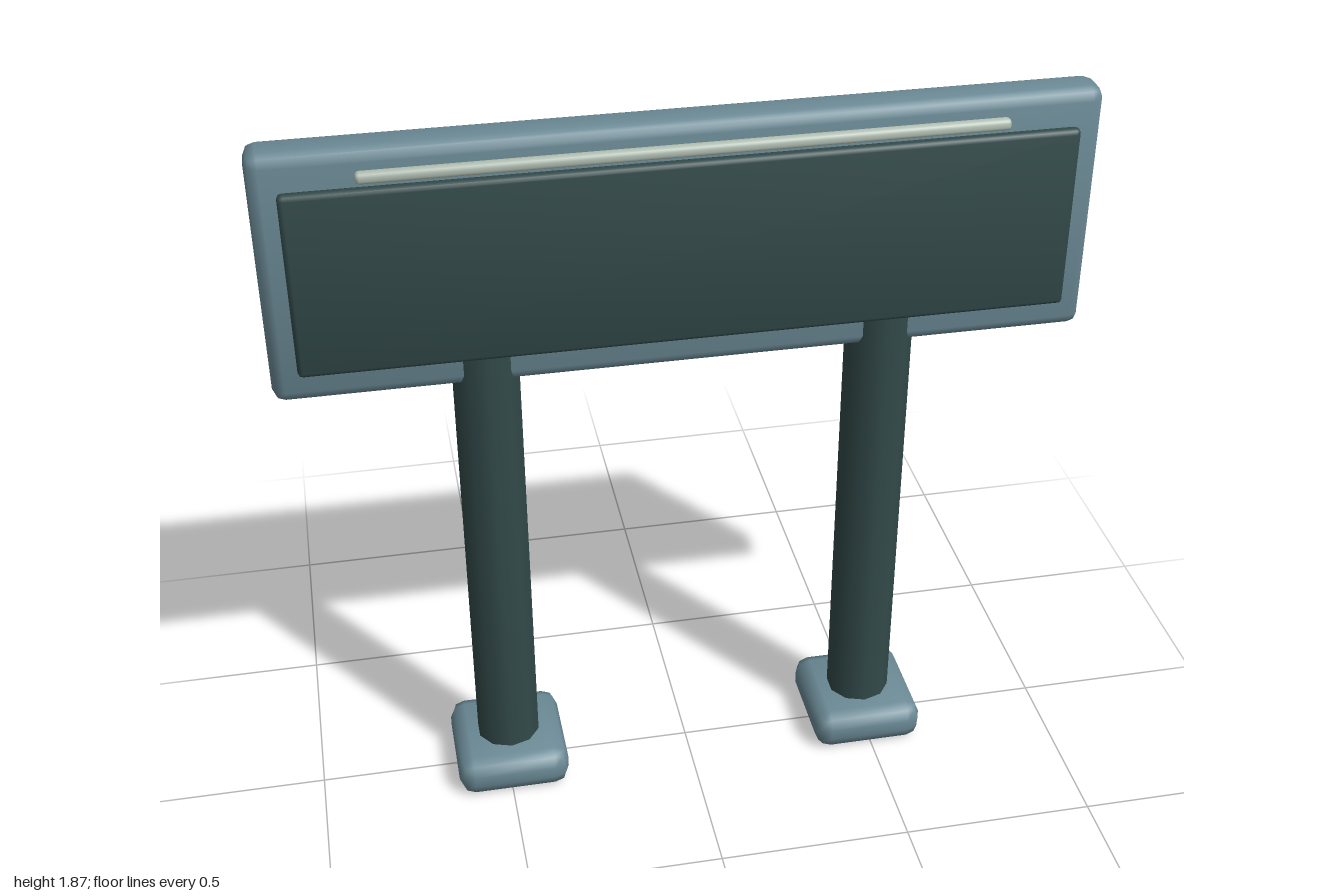
import * as THREE from 'three';
import { RoundedBoxGeometry } from 'three/addons/geometries/RoundedBoxGeometry.js';

const mat = (name, color) => {
  const m = new THREE.MeshStandardMaterial({ color });
  m.name = name;
  return m;
};

// Bevelled box whose normals lean outwards, for soft shading across its faces
function softBox(w, h, d, radius, lean = 0.2) {
  const geo = new RoundedBoxGeometry(w, h, d, 1, radius);
  const p = geo.attributes.position;
  const n = geo.attributes.normal;
  const v = new THREE.Vector3();
  for (let i = 0; i < p.count; i++) {
    v.fromBufferAttribute(n, i);
    v.x += lean * Math.sign(p.getX(i));
    v.y += lean * Math.sign(p.getY(i));
    v.z += lean * Math.sign(p.getZ(i));
    v.normalize();
    n.setXYZ(i, v.x, v.y, v.z);
  }
  return geo;
}

export function createModel() {
  const model = new THREE.Group();
  model.name = 'signboard';
  const frame = mat('blue grey', 0x6b8a96);
  const dark = mat('dark slate', 0x334a4a);
  const pale = mat('pale green grey', 0xb6c3b7);

  const add = (name, geo, material, x, y, z) => {
    const mesh = new THREE.Mesh(geo, material);
    mesh.name = name;
    mesh.position.set(x, y, z);
    model.add(mesh);
  };

  // Board with its raised face panel and light strip
  add('board', softBox(2, 0.635, 0.116, 0.03), frame, 0, 1.5525, 0);
  add('facePanel', softBox(1.87, 0.466, 0.034, 0.012), dark, 0, 1.553, 0.075);
  add('lightStrip', softBox(1.52, 0.027, 0.03, 0.009), pale, 0, 1.812, 0.076);

  // Ten-sided posts on bevelled feet
  const post = new THREE.CylinderGeometry(0.084, 0.084, 1.28, 10);
  const foot = softBox(0.296, 0.11, 0.304, 0.04);
  for (const [side, x] of [['left', 0.492], ['right', -0.492]]) {
    add(side + 'Post', post, dark, x, 0.72, 0);
    add(side + 'Foot', foot, frame, x, 0.055, 0);
  }
  return model;
}
